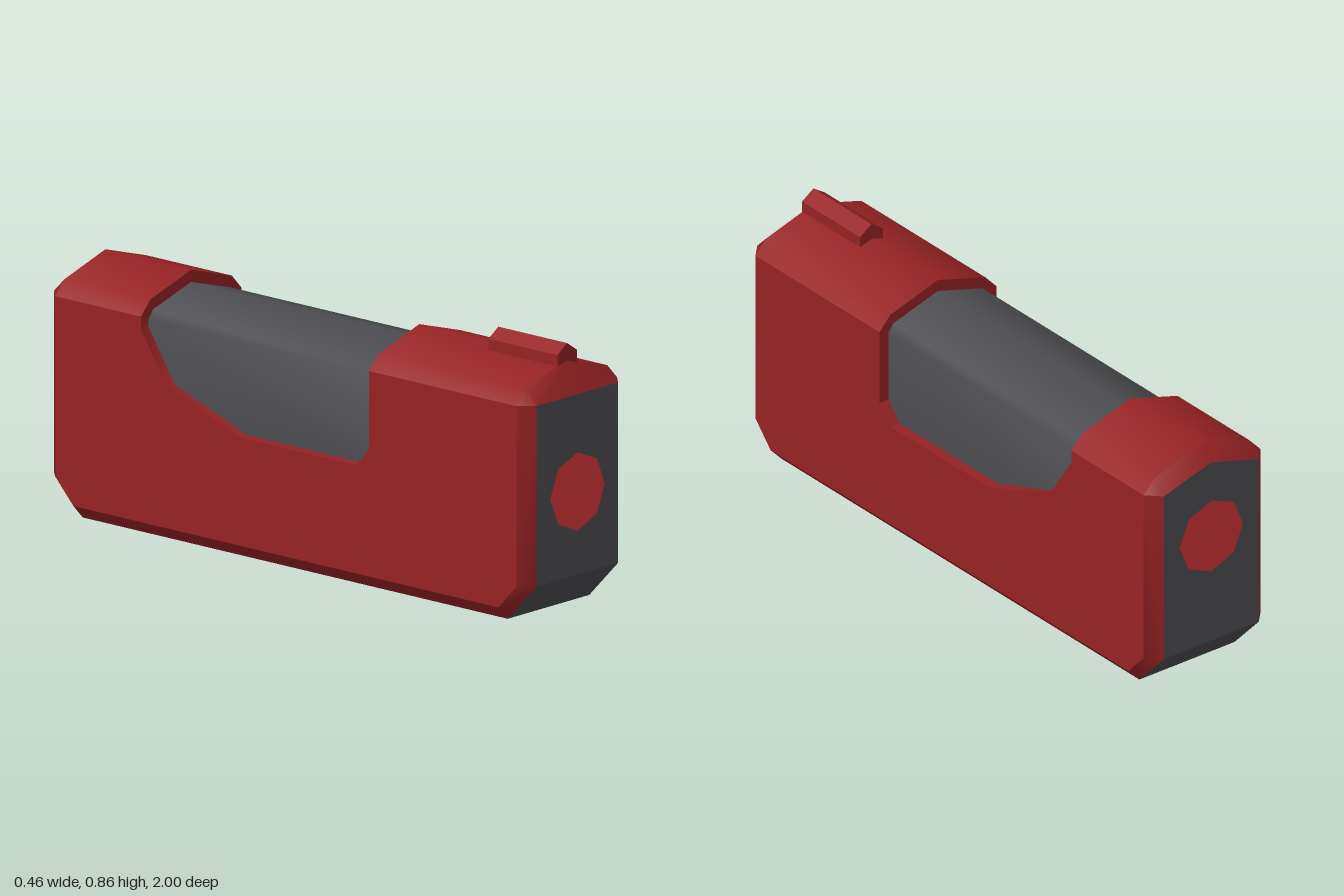
import * as THREE from 'three';
import { toCreasedNormals } from 'three/addons/utils/BufferGeometryUtils.js';

const W = 0.23, C = 0.187, INNER = 0.195; // half widths: wall, chamfered edge, insert
const HOLE = 0.125;
const CUT_FRONT = 0.345, CUT_BACK = -0.6;

// Surface between two rows of points
function loft(a, b) {
  const pos = [];
  for (let i = 0; i < a.length - 1; i++) {
    pos.push(...a[i], ...a[i + 1], ...b[i + 1], ...a[i], ...b[i + 1], ...b[i]);
  }
  const g = new THREE.BufferGeometry();
  g.setAttribute('position', new THREE.Float32BufferAttribute(pos, 3));
  return toCreasedNormals(g, 0.65);
}

// Half profile (x, y) mirrored into a full arch at depth z
function arch(half, z) {
  const left = half.map(([x, y]) => [x, y, z]);
  const right = half.slice(0, -1).reverse().map(([x, y]) => [-x, y, z]);
  return [...left, ...right];
}

// Flat plate with octagonal holes
function plate(points, holes) {
  const shape = new THREE.Shape(points.map(p => new THREE.Vector2(...p)));
  for (const [cx, cy] of holes) {
    const pts = [];
    for (let i = 0; i < 8; i++) {
      const t = -i * Math.PI / 4;
      pts.push(new THREE.Vector2(cx + HOLE * Math.cos(t), cy + HOLE * Math.sin(t)));
    }
    shape.holes.push(new THREE.Path(pts));
  }
  return new THREE.ShapeGeometry(shape);
}

export function createModel() {
  const model = new THREE.Group();
  model.name = 'slideHousing';
  const red = new THREE.MeshStandardMaterial({ color: 0x962224, side: THREE.DoubleSide });
  red.name = 'red';
  const grey = new THREE.MeshStandardMaterial({ color: 0x4c4c50, side: THREE.DoubleSide });
  grey.name = 'dark grey';
  const add = (name, geometry, material, parent = model) => {
    const mesh = new THREE.Mesh(geometry, material);
    mesh.name = name;
    parent.add(mesh);
    return mesh;
  };

  // Side walls with the window cut, as (z, y) points
  const cut = [[CUT_FRONT, 0.7], [CUT_FRONT, 0.45], [0.29, 0.39], [-0.19, 0.39],
    [-0.49, 0.495], [CUT_BACK, 0.66], [CUT_BACK, 0.7]];
  const wallEdge = [[0.955, 0.7], [0.955, 0.125], [0.88, 0.045],
    [-0.88, 0.045], [-0.955, 0.125], [-0.955, 0.7]];
  const outerEdge = [[1, 0.7], [1, 0.125], [0.88, 0], [-0.88, 0], [-1, 0.125], [-1, 0.7]];
  const at = (path, x) => path.map(([z, y]) => [x, y, z]);
  const wallShape = [...wallEdge, ...cut.slice().reverse()].map(([z, y]) => [-z, y]);
  for (const s of [1, -1]) {
    const side = new THREE.Group();
    side.name = s > 0 ? 'leftSide' : 'rightSide';
    side.scale.x = s;
    model.add(side);
    add('sideWall', plate(wallShape, []).rotateY(Math.PI / 2).translate(W, 0, 0), red, side);
    add('sideChamfer', loft(at(outerEdge, C), at(wallEdge, W)), red, side);
    add('windowRim', loft(at(cut, W), at(cut, INNER)), red, side);
  }

  // Roof sections in front of and behind the window, with sloped ends
  const roof = [[W, 0.7], [C, 0.746], [0, 0.803]];
  const insert = [[INNER, 0.685], [0.175, 0.712], [0, 0.764]];
  const frontTop = [[C, 0.7], [C, 0.7], [0, 0.7]];
  const backTop = [[C, 0.7], [C, 0.7], [0, 0.755]];
  add('frontRoof', loft(arch(roof, CUT_FRONT), arch(roof, 0.955)), red);
  add('frontRoofSlope', loft(arch(roof, 0.955), arch(frontTop, 1)), red);
  add('backRoof', loft(arch(roof, -0.955), arch(roof, CUT_BACK)), red);
  add('backRoofSlope', loft(arch(backTop, -1), arch(roof, -0.955)), red);
  add('frontRoofEdge', loft(arch(insert, CUT_FRONT), arch(roof, CUT_FRONT)), red);
  add('backRoofEdge', loft(arch(roof, CUT_BACK), arch(insert, CUT_BACK)), red);

  // Grey insert showing through the window
  const insertArch = [[INNER, 0.37], ...insert];
  add('barrelInsert', loft(arch(insertArch, CUT_BACK), arch(insertArch, CUT_FRONT)), grey);

  // End plates, base and their chamfers
  add('frontPlate', plate([[-C, 0.125], [C, 0.125], [C, 0.7], [-C, 0.7]], [[0, 0.39]])
    .translate(0, 0, 1), grey);
  add('backPlate', plate([[-C, 0.125], [C, 0.125], [C, 0.7], [0, 0.755], [-C, 0.7]], [[0, 0.495]])
    .rotateY(Math.PI).translate(0, 0, -1), grey);
  add('basePlate', plate([[-C, -0.88], [C, -0.88], [C, 0.88], [-C, 0.88]], [[0, 0.57], [0, -0.53]])
    .rotateX(Math.PI / 2), grey);
  const ends = { frontBaseChamfer: outerEdge.slice(1, 3), backBaseChamfer: outerEdge.slice(3, 5) };
  for (const [name, path] of Object.entries(ends)) {
    add(name, loft(at(path, -C), at(path, C)), grey);
  }

  // Front sight rail
  const rail = new THREE.Shape([[-0.045, 0.77], [0.045, 0.77], [0.045, 0.825], [0, 0.855], [-0.045, 0.825]]
    .map(p => new THREE.Vector2(...p)));
  add('sightRail', new THREE.ExtrudeGeometry(rail, { depth: 0.285, bevelEnabled: false })
    .translate(0, 0, 0.672), red);

  return model;
}
